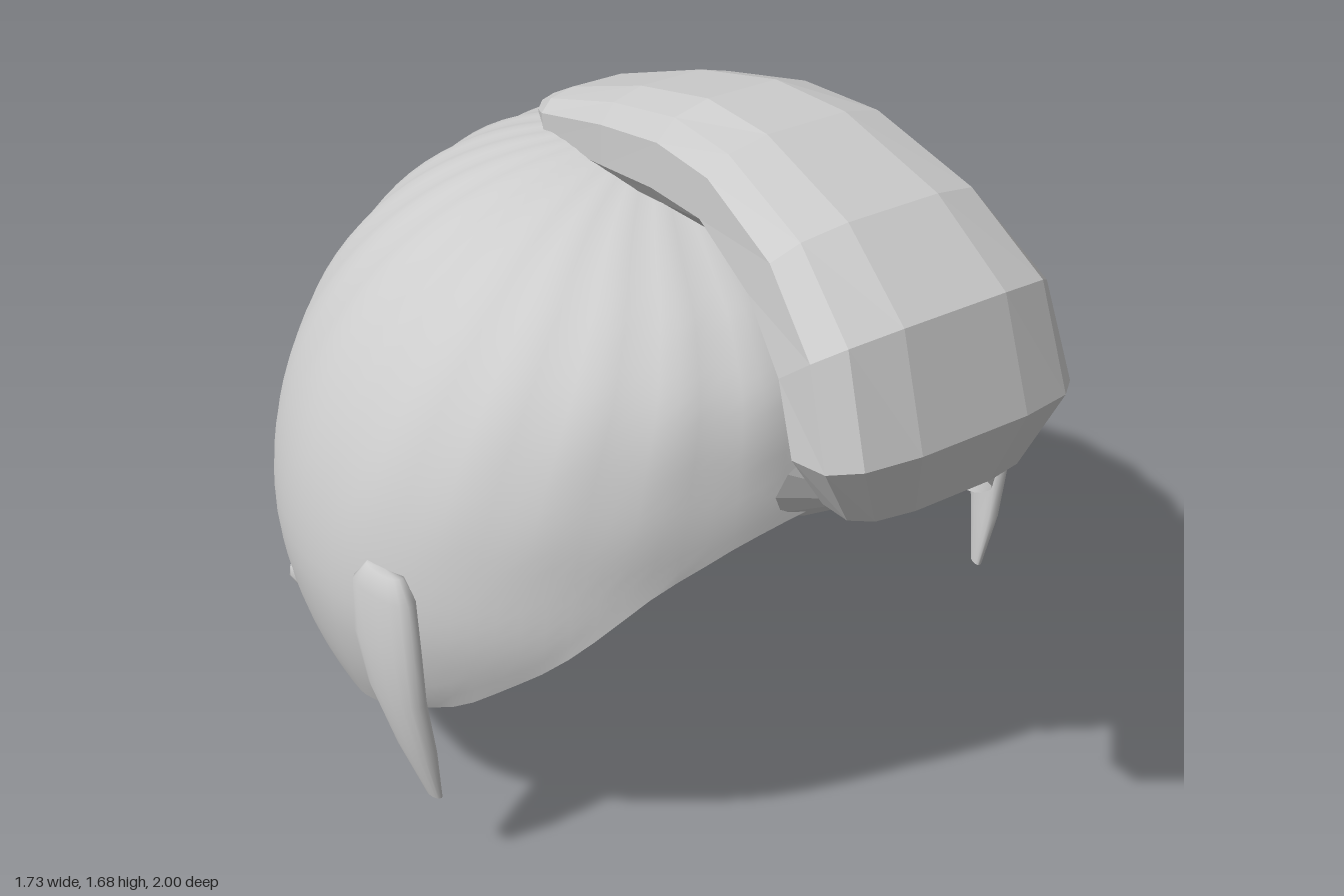
import * as THREE from 'three';

const grey = new THREE.MeshStandardMaterial({ color: 0xcccccc, side: THREE.DoubleSide });
grey.name = 'light grey';
const V = (x, y, z) => new THREE.Vector3(x, y, z);

// linear lookup in a list of [key, value] pairs
function lookup(table, k) {
  if (k <= table[0][0]) return table[0][1];
  for (let i = 1; i < table.length; i++) {
    const [a, va] = table[i - 1], [b, vb] = table[i];
    if (k <= b) return va + (vb - va) * (k - a) / (b - a);
  }
  return table[table.length - 1][1];
}

// closed skin through rings of equal length, with end caps
function loft(rings, flat) {
  const n = rings[0].length, pos = [], idx = [];
  rings.forEach(r => r.forEach(p => pos.push(p.x, p.y, p.z)));
  for (let i = 0; i < rings.length - 1; i++) {
    for (let j = 0; j < n; j++) {
      const a = i * n + j, b = i * n + (j + 1) % n;
      idx.push(a, b, a + n, b, b + n, a + n);
    }
  }
  [0, rings.length - 1].forEach(i => {
    const c = rings[i].reduce((s, p) => s.add(p), V(0, 0, 0)).divideScalar(n);
    const k = pos.length / 3;
    pos.push(c.x, c.y, c.z);
    for (let j = 0; j < n; j++) {
      const a = i * n + j, b = i * n + (j + 1) % n;
      if (i) idx.push(a, b, k); else idx.push(b, a, k);
    }
  });
  let g = new THREE.BufferGeometry();
  g.setAttribute('position', new THREE.Float32BufferAttribute(pos, 3));
  g.setIndex(idx);
  if (flat) g = g.toNonIndexed();
  g.computeVertexNormals();
  return g;
}

// rounded-box ring around c, with half axes u and v
function ring(c, u, v, n = 12, e = 0.75) {
  const f = t => Math.sign(t) * Math.pow(Math.abs(t), e);
  return Array.from({ length: n }, (_, i) => {
    const a = (i + 0.5) / n * Math.PI * 2;
    return c.clone().addScaledVector(u, f(Math.cos(a))).addScaledVector(v, f(Math.sin(a)));
  });
}

function add(parent, name, geometry) {
  const m = new THREE.Mesh(geometry, grey);
  m.name = name;
  parent.add(m);
  return m;
}

// open shell: meridians from the crown to a tilted rim
function capGeometry() {
  const rim = [[0, 0.925], [9, 0.915], [17, 0.88], [24, 0.825], [31, 0.762], [45, 0.585], [58, 0.45],
    [66, 0.39], [74, 0.345], [90, 0.3], [111, 0.22], [127, 0.13], [140, 0.07], [155, 0.025], [180, 0]];
  const front = [[0.3, 0.48], [0.34, 0.53], [0.445, 0.65], [0.64, 0.71], [0.8, 0.725], [1.02, 0.8],
    [1.18, 0.88], [1.3, 0.91], [1.4, 0.87]];
  const back = [[0, 1], [0.3, 0.96], [0.52, 0.935], [0.8, 0.92]];
  const side = [[0, 0.79], [0.12, 0.82], [0.22, 0.835], [0.34, 0.845], [0.6, 0.86]];
  const cols = 96, rows = 36, pos = [], idx = [];
  for (let i = 0; i <= rows; i++) {
    for (let j = 0; j < cols; j++) {
      const a = j / cols * Math.PI * 2, t = i / rows;
      const deg = Math.abs(j <= cols / 2 ? j : cols - j) / cols * 360;
      const low = Math.acos((lookup(rim, deg) - 0.6) / 0.86);
      const u = low * t, y = 0.6 + 0.86 * Math.cos(u);
      // pleats gathered at the crown fade out downwards
      const pleat = 1 + 0.03 * Math.cos(a * 24) * Math.pow(Math.max(0, 1 - u / 1.3), 1.2);
      const r = Math.sin(u) * pleat, c = Math.cos(a);
      const depth = lookup(c > 0 ? front : back, y);
      pos.push(lookup(side, y) * r * Math.sin(a), y, -0.07 + depth * r * c);
      if (i < rows) {
        const p = i * cols + j, q = i * cols + (j + 1) % cols;
        idx.push(p, p + cols, q, q, p + cols, q + cols);
      }
    }
  }
  const g = new THREE.BufferGeometry();
  g.setAttribute('position', new THREE.Float32BufferAttribute(pos, 3));
  g.setIndex(idx);
  g.computeVertexNormals();
  return g;
}

// lock of hair; rows are [outer z, outer y, inner z, inner y, centre x, half width]
function lockGeometry(rows) {
  return loft(rows.map(([oz, oy, iz, iy, x, w]) => ring(
    V(x, (oy + iy) / 2, (oz + iz) / 2), V(w, 0, 0), V(0, (oy - iy) / 2, (oz - iz) / 2), 12, 0.65)), true);
}

// flat claw from root to tip, broad across the given direction
function clawGeometry(root, tip, across, width, thick) {
  const along = tip.clone().sub(root).normalize();
  const out = new THREE.Vector3().crossVectors(along, across).normalize();
  const shape = [[0, 0.8, 0.6], [0.06, 0.97, 0.95], [0.3, 1, 1], [0.6, 0.8, 0.9], [0.85, 0.5, 0.65], [1, 0.2, 0.25]];
  return loft(shape.map(([t, w, h]) => ring(root.clone().lerp(tip, t),
    across.clone().multiplyScalar(width * w), out.clone().multiplyScalar(thick * h), 16)), false);
}

export function createModel() {
  const model = new THREE.Group();
  model.name = 'hairCap';
  add(model, 'cap', capGeometry());

  // big forward curl
  add(model, 'frontCurl', lockGeometry([
    [-0.42, 1.43, -0.4, 1.34, 0, 0.08],
    [-0.29, 1.5, -0.27, 1.36, 0, 0.15],
    [0, 1.61, 0, 1.39, 0, 0.18],
    [0.25, 1.675, 0.2, 1.42, 0, 0.2],
    [0.46, 1.68, 0.4, 1.45, 0, 0.225],
    [0.73, 1.61, 0.57, 1.39, 0, 0.255],
    [0.92, 1.48, 0.7, 1.3, 0, 0.29],
    [1, 1.25, 0.76, 1.2, 0, 0.305],
    [0.95, 1.09, 0.77, 1.08, 0, 0.22],
    [0.78, 1.05, 0.7, 1.02, 0, 0.07]]));

  // strand tucked behind the curl
  add(model, 'innerStrand', lockGeometry([
    [0.26, 1.5, 0.16, 1.38, 0.09, 0.11],
    [0.47, 1.49, 0.38, 1.41, 0.13, 0.14],
    [0.65, 1.4, 0.52, 1.3, 0.18, 0.14],
    [0.77, 1.26, 0.61, 1.21, 0.21, 0.135],
    [0.79, 1.13, 0.62, 1.09, 0.18, 0.13],
    [0.73, 1.03, 0.6, 0.98, 0.12, 0.11],
    [0.68, 0.97, 0.58, 0.91, 0.03, 0.1]]));

  // fan-shaped end of the strand
  const fan = add(model, 'strandEnd', new THREE.ConeGeometry(0.19, 0.1, 13).toNonIndexed());
  fan.geometry.computeVertexNormals();
  fan.geometry.rotateX(Math.PI / 2).scale(1, 0.75, 1);
  fan.position.set(0, 0.985, 0.695);
  fan.rotation.x = 0.35;

  for (const s of [1, -1]) {
    const hand = s > 0 ? 'left' : 'right';
    // long side fang
    const fang = [[0.765, 0.14, 0.05, 0.807, 0.02], [0.72, 0.145, 0.085, 0.815, 0.032], [0.6, 0.16, 0.092, 0.823, 0.034],
      [0.48, 0.18, 0.078, 0.82, 0.032], [0.34, 0.205, 0.052, 0.797, 0.026], [0.2, 0.22, 0.02, 0.77, 0.01]];
    add(model, hand + 'SideFang', loft(fang.map(([y, z, w, x, h]) =>
      ring(V(s * x, y, z), V(-s * w * 0.22, 0, w), V(s * h, 0, 0), 16, 0.9)), false));
    // two claws along the back rim
    add(model, hand + 'BackClaw', clawGeometry(V(s * 0.2, 0.205, -0.935), V(s * 0.175, 0.015, -0.735),
      V(0.97, 0, s * 0.22).normalize(), 0.118, 0.045));
    add(model, hand + 'OuterClaw', clawGeometry(V(s * 0.588, 0.225, -0.755), V(s * 0.47, 0.04, -0.61),
      V(0.76, 0, s * 0.65).normalize(), 0.118, 0.045));
  }
  return model;
}
